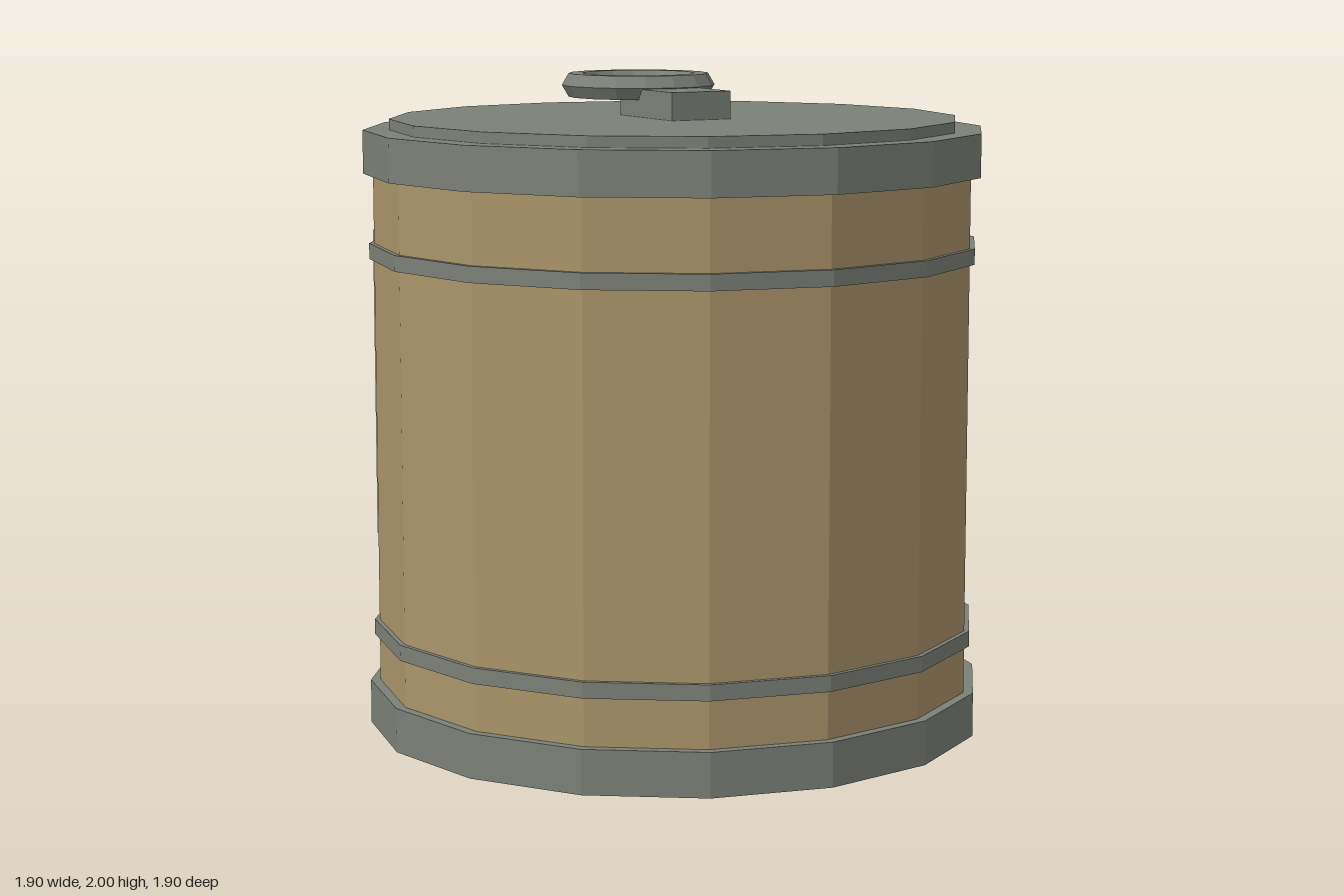
import * as THREE from 'three';

export function createModel() {
  const group = new THREE.Group();
  const material = (name, color) => {
    const m = new THREE.MeshStandardMaterial({ color, flatShading: true });
    m.name = name;
    return m;
  };
  const wood = material('tan wood', 0xaa946a);
  const metal = material('grey metal', 0x7b8078);
  const paper = material('pale panel', 0xbcbfa9);

  const add = (name, geometry, mat, x, y, z) => {
    const mesh = new THREE.Mesh(geometry, mat);
    mesh.name = name;
    mesh.position.set(x, y, z);
    group.add(mesh);
    return mesh;
  };

  // Sixteen-sided drum sections: name, radius, bottom, top, material
  const sections = [
    ['baseRim', 0.95, 0, 0.135, metal],
    ['body', 0.92, 0.1, 1.75, wood],
    ['lowerHoop', 0.935, 0.28, 0.328, metal],
    ['upperHoop', 0.935, 1.45, 1.498, metal],
    ['lidRim', 0.95, 1.71, 1.842, metal],
    ['lidTop', 0.87, 1.83, 1.875, metal],
  ];
  for (const [name, r, y0, y1, mat] of sections) {
    add(name, new THREE.CylinderGeometry(r, r, y1 - y0, 16), mat, 0, (y0 + y1) / 2, 0);
  }

  // Lid bracket with a flat pull ring
  add('ringBracket', new THREE.BoxGeometry(0.2, 0.1, 0.335), metal, 0, 1.91, 0);
  const ring = add('pullRing', new THREE.TorusGeometry(0.197, 0.042, 6, 16), metal, 0, 1.963, -0.237);
  ring.rotation.x = Math.PI / 2;

  // Rectangular plate on the back
  add('backPlate', new THREE.BoxGeometry(1.2, 1.005, 0.062), paper, 0, 0.973, -0.919);

  return group;
}
